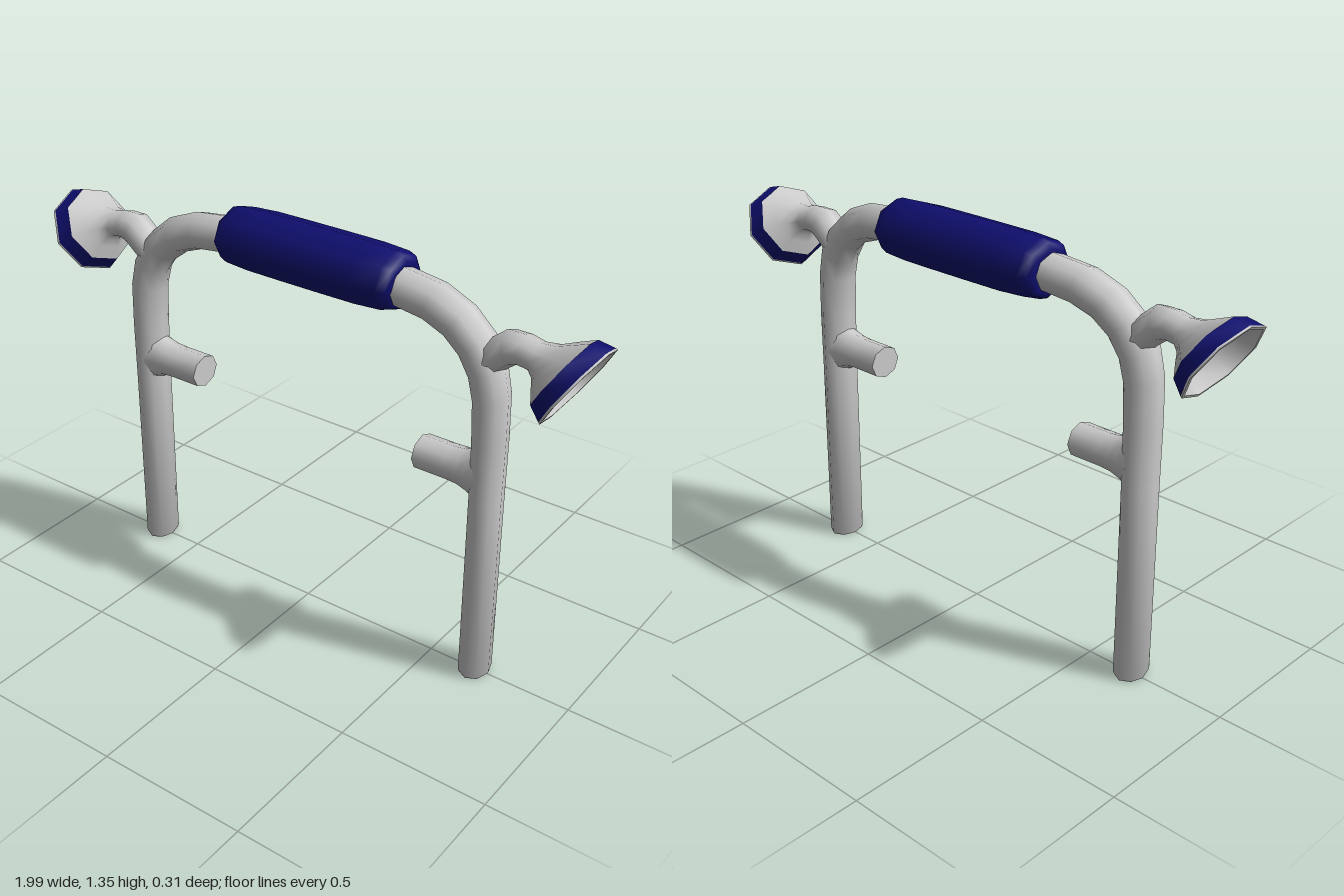
import * as THREE from 'three';
import { toCreasedNormals } from 'three/addons/utils/BufferGeometryUtils.js';

const SIDES = 8;
const grey = new THREE.MeshStandardMaterial({ color: 0xcccccc });
const blue = new THREE.MeshStandardMaterial({ color: 0x0f0f70 });

// Sweeps an octagonal ring through sections [x, y, z, degrees, radius in plane, radius along z].
// A section of zero radius closes the end.
function sweep(name, sections, material) {
  const pos = [], idx = [];
  for (const [x, y, z, deg, ra, rb] of sections) {
    const a = THREE.MathUtils.degToRad(deg);
    for (let j = 0; j < SIDES; j++) {
      const t = (j / SIDES) * Math.PI * 2, u = Math.cos(t) * ra;
      pos.push(x - Math.sin(a) * u, y + Math.cos(a) * u, z + Math.sin(t) * rb);
    }
  }
  for (let i = 0; i < sections.length - 1; i++) {
    for (let j = 0; j < SIDES; j++) {
      const k = (j + 1) % SIDES;
      const a = i * SIDES + j, b = i * SIDES + k, c = a + SIDES, d = b + SIDES;
      if (sections[i][4] > 0) idx.push(a, b, c);
      if (sections[i + 1][4] > 0) idx.push(b, d, c);
    }
  }
  const geo = new THREE.BufferGeometry();
  geo.setAttribute('position', new THREE.Float32BufferAttribute(pos, 3));
  geo.setIndex(idx);
  const mesh = new THREE.Mesh(toCreasedNormals(geo, 1.05), material);
  mesh.name = name;
  return mesh;
}

// Moves sections built on the +x side to side s
const onSide = (s, list) => list.map(([x, y, z, a, ra, rb]) =>
  s > 0 ? [x, y, z, a, ra, rb] : [-x, y, z, 180 - a, ra, rb]);

// Flared horn: bent neck, coloured band, lip and hollow inside
function horn(s) {
  const g = new THREE.Group();
  g.name = s > 0 ? 'leftHorn' : 'rightHorn';
  const tilt = -32;
  const bandStart = [0.872, 1.149, 0, tilt, 0.128, 0.133];
  const bandEnd = [0.913, 1.123, 0, tilt, 0.143, 0.152];
  const rim = [0.919, 1.119, 0, tilt, 0.145, 0.154];
  g.add(sweep('hornNeck', onSide(s, [
    [0.61, 1.09, 0, 45, 0.045, 0.055],
    [0.66, 1.14, 0, 45, 0.05, 0.058],
    [0.705, 1.177, 0, 18, 0.054, 0.058],
    [0.745, 1.182, 0, -4, 0.046, 0.055],
    [0.785, 1.174, 0, -12, 0.043, 0.055],
    [0.815, 1.167, 0, -25, 0.058, 0.07],
    [0.843, 1.163, 0, tilt, 0.089, 0.1],
    bandStart,
  ]), grey));
  g.add(sweep('hornBand', onSide(s, [bandStart, bandEnd]), blue));
  g.add(sweep('hornMouth', onSide(s, [
    bandEnd, rim,
    [0.919, 1.119, 0, tilt, 0.135, 0.143],
    [0.872, 1.149, 0, tilt, 0.112, 0.118],
    [0.835, 1.168, 0, tilt, 0.062, 0.07],
    [0.8, 1.176, 0, -25, 0.035, 0.04],
    [0.77, 1.18, 0, -12, 0, 0],
  ]), grey));
  if (s > 0) g.position.set(0, -0.013, -0.006);
  return g;
}

export function createModel() {
  const model = new THREE.Group();
  model.name = 'handleFrame';

  // Legs and arch: one bent tube, right half then its mirror
  const half = [
    [-0.665, 0, 0, 90, 0, 0],
    [-0.665, 0, 0, 90, 0.046, 0.06],
    [-0.665, 0.008, 0, 90, 0.05, 0.065],
    [-0.663, 0.65, 0, 90, 0.05, 0.066],
    [-0.662, 0.85, 0, 89, 0.052, 0.067],
    [-0.657, 0.99, 0, 82, 0.055, 0.066],
    [-0.638, 1.07, -0.002, 67, 0.058, 0.066],
    [-0.595, 1.14, -0.006, 51, 0.06, 0.067],
    [-0.53, 1.193, -0.012, 34, 0.061, 0.068],
    [-0.44, 1.227, -0.019, 15, 0.061, 0.07],
    [-0.32, 1.24, -0.025, 4, 0.06, 0.071],
    [-0.1, 1.245, -0.034, 0, 0.06, 0.072],
  ];
  const mirrored = half.map(([x, y, z, a, ra, rb]) => [-x, y, z, -a, ra, rb]).reverse();
  model.add(sweep('tubeFrame', [...half, ...mirrored], grey));

  // Padded grip on the crossbar
  const gripHalf = [[0.325, 0.05, 0.06], [0.33, 0.07, 0.08], [0.318, 0.085, 0.097],
    [0.29, 0.095, 0.107], [0.2, 0.1, 0.114], [0.07, 0.1, 0.116]];
  const grip = (k) => gripHalf.map(([x, ra, rb]) => [x * k, 1.245, -0.035, 0, ra, rb]);
  model.add(sweep('grip', [...grip(-1), ...grip(1).reverse()], blue));

  for (const s of [1, -1]) {
    // Inward peg with a flared root
    model.add(sweep(s > 0 ? 'leftPeg' : 'rightPeg', onSide(s, [
      [0.65, 0.728, 0, 180, 0.095, 0.062],
      [0.61, 0.73, 0, 180, 0.072, 0.06],
      [0.58, 0.731, 0, 180, 0.059, 0.06],
      [0.54, 0.731, 0, 180, 0.055, 0.06],
      [0.43, 0.731, 0, 180, 0.055, 0.06],
      [0.43, 0.731, 0, 180, 0, 0],
    ]), grey));
    model.add(horn(s));
  }
  return model;
}
